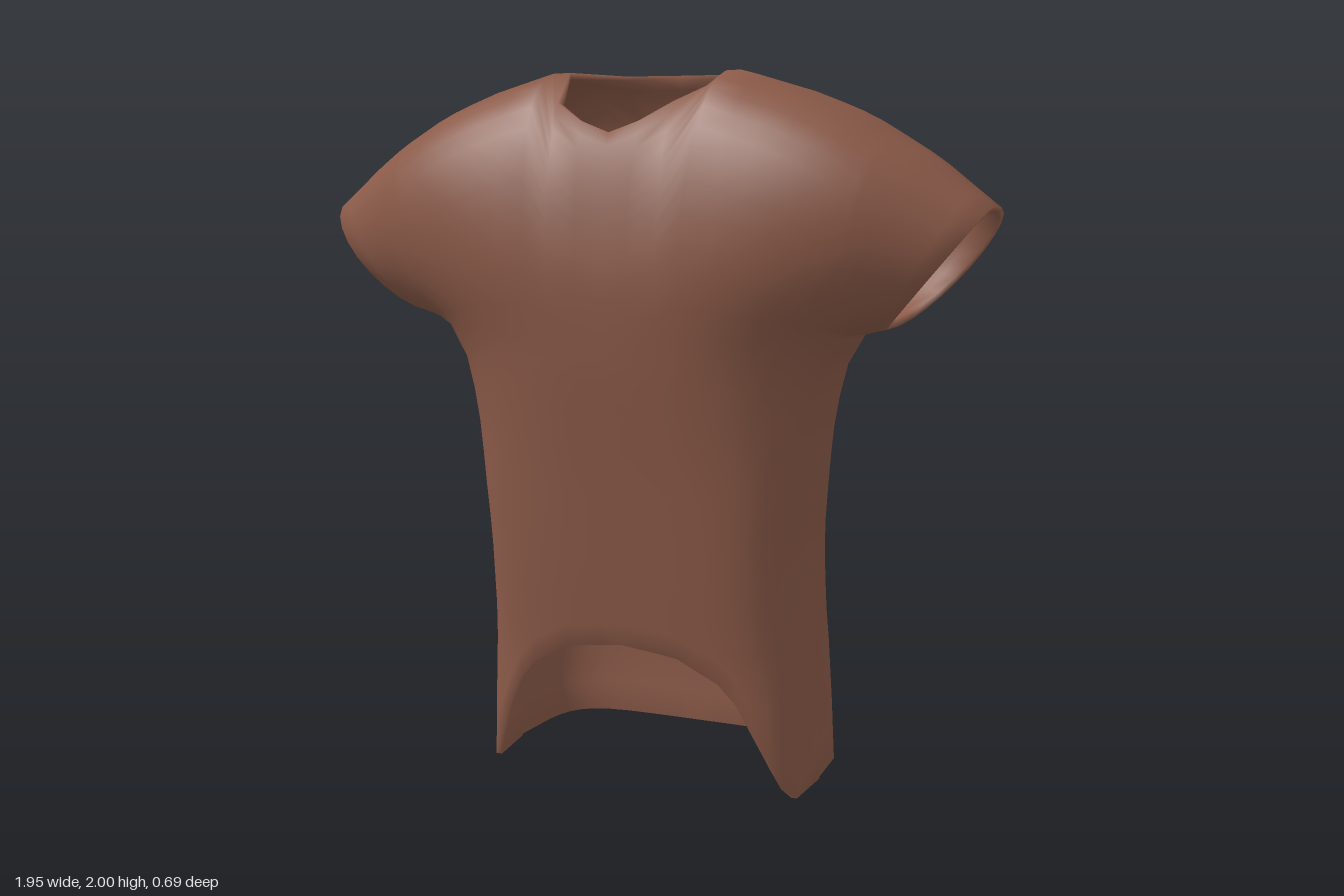
import * as THREE from 'three';
import { mergeVertices } from 'three/addons/utils/BufferGeometryUtils.js';

const { lerp, clamp, smoothstep } = THREE.MathUtils;

// Piecewise linear profile through [input, value] pairs
const profile = (pts) => (v) => {
  let i = 0;
  while (i < pts.length - 2 && v > pts[i + 1][0]) i++;
  const [a, b] = [pts[i], pts[i + 1]];
  return lerp(a[1], b[1], clamp((v - a[0]) / (b[0] - a[0]), 0, 1));
};

// Body silhouette by height
const halfWidth = profile([[0, 0.49], [0.2, 0.48], [0.5, 0.467], [0.7, 0.47], [1, 0.505], [1.12, 0.53], [1.22, 0.56], [1.29, 0.61]]);
const frontZ = profile([[0.05, 0.18], [0.2, 0.2], [0.35, 0.205], [0.6, 0.24], [0.9, 0.28], [1.2, 0.325], [1.45, 0.35], [2, 0.36]]);
const backZ = profile([[0.05, -0.335], [0.2, -0.345], [0.4, -0.338], [0.65, -0.31], [0.8, -0.303], [1, -0.31], [1.2, -0.33], [1.45, -0.345], [2, -0.35]]);
const seamZ = profile([[0, -0.07], [0.4, -0.06], [0.8, -0.02], [1.29, -0.005], [2, -0.005]]);
// Shoulder line and front hem arch by x
const shoulderY = profile([[0.26, 2], [0.45, 1.945], [0.6, 1.885], [0.8, 1.77], [0.97, 1.64]]);
const frontHem = profile([[0, 0.42], [0.17, 0.4], [0.32, 0.32], [0.38, 0.2], [0.44, 0.05], [0.47, 0], [0.49, 0.02]]);

// Columns run from the centre line to the armpit, then along the sleeve
const COLS = [0, 0.12, 0.24, 0.36, 0.48, 0.6, 0.7, 0.79, 0.87, 0.93, 0.975, 1];
const ARMPIT = COLS.length - 1, SLEEVE = 5, LOWER = 14, UPPER = 12, CHEST = 1.29;
const NECK_TOP = [2.045, 2.04, 2.02], NECK_FRONT = [1.83, 1.86, 1.91], NECK_BACK = [1.995, 1.995, 1.995];
const THICKNESS = 0.018;

const depthAt = (y, front, amount) => seamZ(y) + ((front ? frontZ(y) : backZ(y)) - seamZ(y)) * amount;
const fullness = (s) => 1 - 0.23 * s ** 3;

// Point on the body below the chest line, t from hem to chest
function lowerPoint(i, t, front) {
  const s = COLS[i];
  const hem = front ? frontHem(s * 0.485) : 0.055 - 0.035 * s ** 6;
  const y = lerp(hem, CHEST, t);
  const n = lerp(4.5, 3, y / CHEST);
  const k = lerp(1, fullness(s), smoothstep(y, 0.6, CHEST));
  return [s * halfWidth(y), y, depthAt(y, front, k * Math.max(0, 1 - s ** n) ** (1 / n))];
}

// Point on the shoulder or sleeve, t from chest line or underarm to shoulder seam
function upperPoint(i, t, front) {
  const s = COLS[Math.min(i, ARMPIT)];
  const u = Math.max(0, i - ARMPIT) / SLEEVE;
  const k = lerp(fullness(s), 0.52, u);
  const p = lerp(front ? 0.65 : 0.55, 0.85, u);
  const bx = lerp(s * 0.61, 0.69, u), by = lerp(CHEST, 1.31, u);
  const tx = lerp(s * 0.722, 0.97, u), ty = NECK_TOP[i] ?? shoulderY(tx);
  const ring = Math.max(0, 1 - s ** 3) ** (1 / 3);
  const start = Math.asin(ring ** (1 / p)), c0 = -Math.cos(start);
  // Columns inside the neck opening stop at its edge
  const yEnd = (front ? NECK_FRONT : NECK_BACK)[i] ?? ty;
  const end = Math.acos(-Math.min(1, c0 + (1 - c0) * (yEnd - by) / (ty - by)));
  const angle = lerp(start, end, t);
  const f = (-Math.cos(angle) - c0) / (1 - c0);
  const swell = Math.max(0, Math.sin(angle));
  const y = lerp(by, ty, f);
  return [lerp(bx, tx, f) + 0.035 * u * swell, y, depthAt(y, front, k * swell ** p)];
}

// Adds a grid of quads, mirrored and wound for its side
function addSheet(out, point, cols, rows, front, mirror) {
  const at = (i, j) => {
    const [x, y, z] = point(i, j / rows, front);
    return [x * mirror, y, z];
  };
  for (let i = 0; i < cols; i++) {
    for (let j = 0; j < rows; j++) {
      const a = at(i, j), b = at(i + 1, j), c = at(i + 1, j + 1), d = at(i, j + 1);
      const quad = front === (mirror > 0) ? [a, b, c, a, c, d] : [a, c, b, a, d, c];
      out.push(...quad.flat());
    }
  }
}

// Gives a surface an inner layer and closes its open edges
function thicken(surface, thickness) {
  const pos = surface.attributes.position, nor = surface.attributes.normal;
  const idx = surface.index.array, n = pos.count;
  const points = [...pos.array], faces = [...idx];
  for (let i = 0; i < n * 3; i++) points.push(pos.array[i] - nor.array[i] * thickness);
  const edges = new Set();
  for (let i = 0; i < idx.length; i += 3) {
    const t = [idx[i], idx[i + 1], idx[i + 2]];
    faces.push(t[0] + n, t[2] + n, t[1] + n);
    t.forEach((a, e) => edges.add(`${a},${t[(e + 1) % 3]}`));
  }
  for (const edge of edges) {
    const [a, b] = edge.split(',').map(Number);
    if (!edges.has(`${b},${a}`)) faces.push(b, a, a + n, b, a + n, b + n);
  }
  const shell = new THREE.BufferGeometry();
  shell.setAttribute('position', new THREE.Float32BufferAttribute(points, 3));
  shell.setIndex(faces);
  shell.computeVertexNormals();
  return shell;
}

export function createModel() {
  const triangles = [];
  for (const mirror of [1, -1]) {
    for (const front of [true, false]) {
      addSheet(triangles, lowerPoint, ARMPIT, LOWER, front, mirror);
      addSheet(triangles, upperPoint, ARMPIT + SLEEVE, UPPER, front, mirror);
    }
  }
  let cloth = new THREE.BufferGeometry();
  cloth.setAttribute('position', new THREE.Float32BufferAttribute(triangles, 3));
  cloth = mergeVertices(cloth, 1e-4);
  cloth.computeVertexNormals();

  const material = new THREE.MeshStandardMaterial({ color: 0x8b5a48, side: THREE.DoubleSide });
  const shirt = new THREE.Mesh(thicken(cloth, THICKNESS), material);
  shirt.name = 'shirt';
  const group = new THREE.Group();
  group.name = 'shortSleevedShirt';
  group.add(shirt);
  return group;
}
